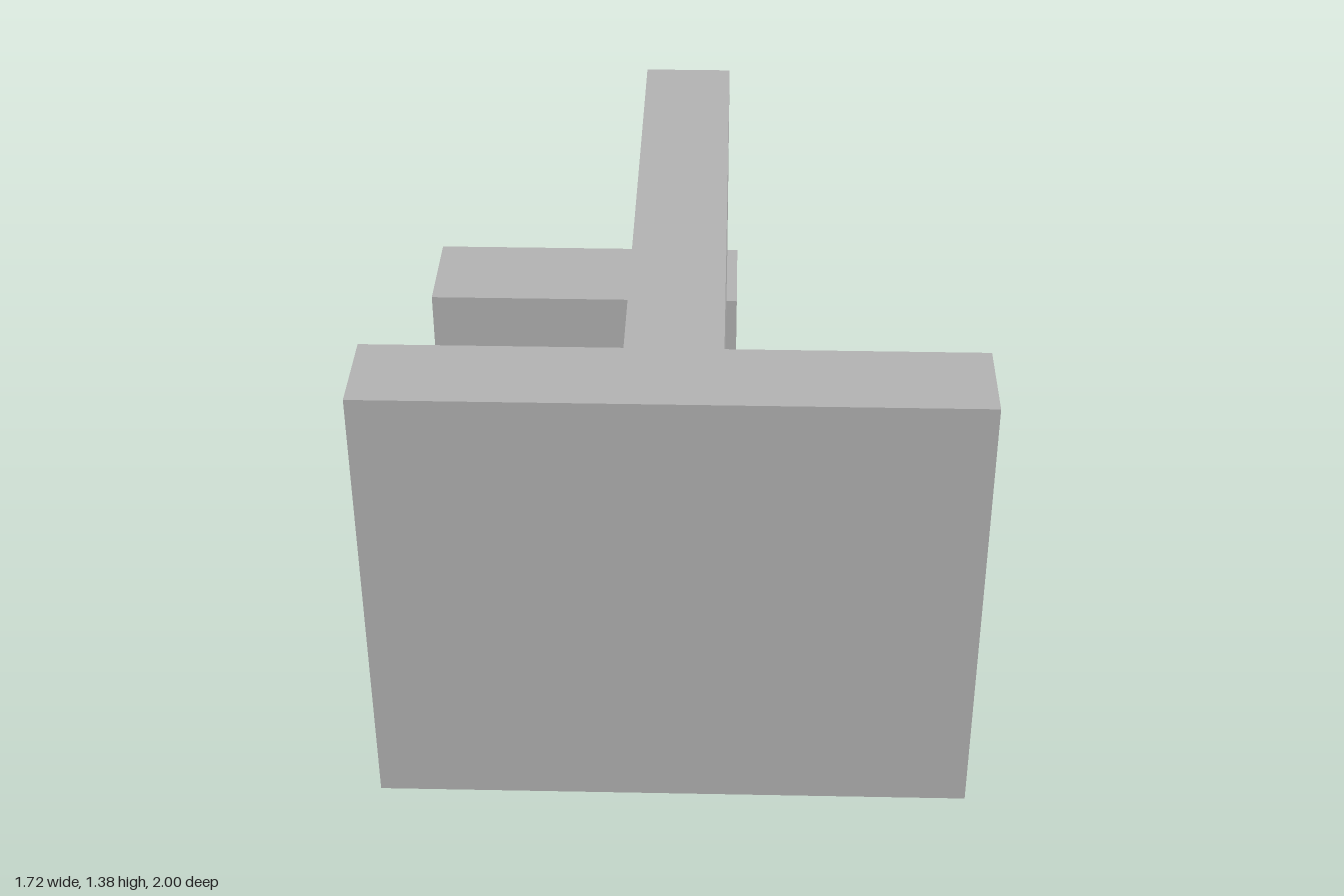
import * as THREE from 'three';

const HALF_W = 0.86, HEIGHT = 1.38, WEB = 0.137, FLANGE_Z = 0.727;
const BLOCK_H = 0.69, BLOCK_D = 0.343, PAD_X = 0.172;
const HOLE_R = 0.104, HOLE_Y = BLOCK_H / 2;

export function createModel() {
  const model = new THREE.Group();
  model.name = 'teeBracket';
  const grey = new THREE.MeshStandardMaterial({ color: 0xb3b3b3 });
  grey.name = 'plain grey';

  const add = (name, geometry) => {
    const mesh = new THREE.Mesh(geometry, grey);
    mesh.name = name;
    model.add(mesh);
    return mesh;
  };

  // T-shaped body: front plate and centre web, drawn in plan and raised upward
  const plan = new THREE.Shape([
    [-HALF_W, -1], [HALF_W, -1], [HALF_W, -FLANGE_Z], [WEB, -FLANGE_Z],
    [WEB, 1], [-WEB, 1], [-WEB, -FLANGE_Z], [-HALF_W, -FLANGE_Z],
  ].map(([x, y]) => new THREE.Vector2(x, y)));
  const body = new THREE.ExtrudeGeometry(plan, { depth: HEIGHT, bevelEnabled: false });
  add('teeBody', body.rotateX(-Math.PI / 2));

  // Rear mounting block: one full hole, and one cut short by the web
  const cutX = -PAD_X;
  const a = Math.acos((cutX + WEB) / -HOLE_R);
  const cut = Math.PI - a;
  const outline = new THREE.Shape();
  outline.moveTo(-HALF_W, 0);
  outline.lineTo(-WEB, 0);
  outline.lineTo(-WEB, HOLE_Y - HOLE_R * Math.sin(cut));
  outline.absarc(cutX, HOLE_Y, HOLE_R, -Math.acos((-WEB - cutX) / HOLE_R), Math.acos((-WEB - cutX) / HOLE_R), true);
  outline.lineTo(-WEB, BLOCK_H);
  outline.lineTo(-HALF_W, BLOCK_H);
  outline.closePath();
  const hole = new THREE.Path();
  hole.absarc(-3 * PAD_X, HOLE_Y, HOLE_R, 0, Math.PI * 2, true);
  outline.holes.push(hole);
  add('mountingBlock', new THREE.ExtrudeGeometry(outline, {
    depth: BLOCK_D, bevelEnabled: false, curveSegments: 32,
  })).position.z = -1;

  // Short end of the block standing proud on the other side of the web
  add('blockEnd', new THREE.BoxGeometry(PAD_X - WEB, BLOCK_H, BLOCK_D))
    .position.set((PAD_X + WEB) / 2, BLOCK_H / 2, -1 + BLOCK_D / 2);

  return model;
}
